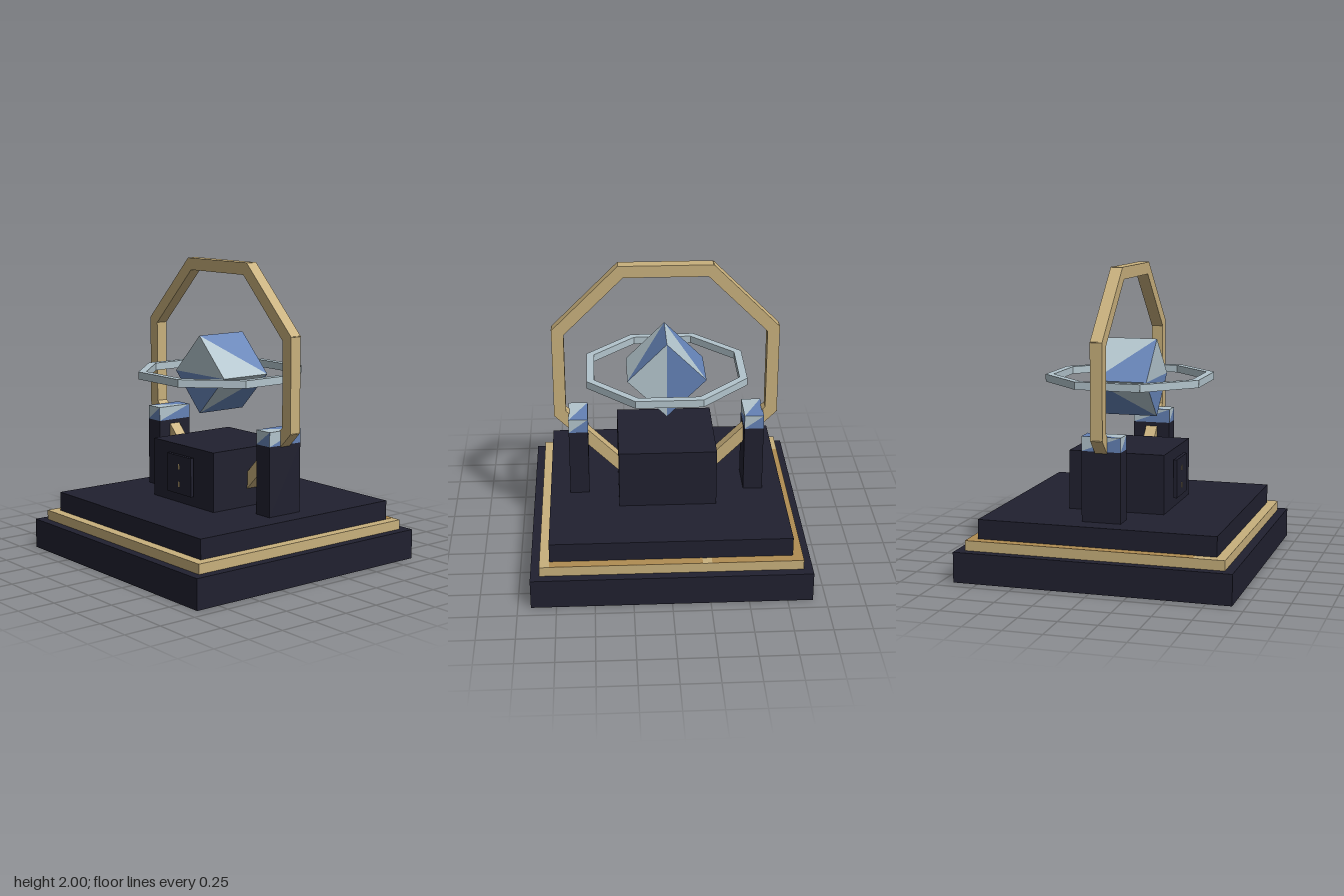
import * as THREE from 'three';

const mat = (name, color) => {
  const m = new THREE.MeshStandardMaterial({ color });
  m.name = name;
  return m;
};

export function createModel() {
  const model = new THREE.Group();
  const navy = mat('navy', 0x20202f);
  const gold = mat('gold', 0xc8b07c);
  const bronze = mat('bronze', 0xb08d52);
  const silver = mat('silver', 0xb2c4cc);
  const blue = mat('blue', 0x6482b6);

  const box = (name, w, h, d, x, y, z, material, parent = model) => {
    const mesh = new THREE.Mesh(new THREE.BoxGeometry(w, h, d), material);
    mesh.name = name;
    mesh.position.set(x, y, z);
    parent.add(mesh);
    return mesh;
  };

  // Box whose faces are each split diagonally into a silver and a blue half
  const twoToneBox = (name, w, h, d, x, y, z) => {
    const mesh = box(name, w, h, d, x, y, z, [silver, blue]);
    const g = mesh.geometry;
    g.clearGroups();
    for (let i = 0; i < 12; i++) {
      const onTop = i === 4 || i === 5;
      g.addGroup(i * 3, 3, onTop ? 1 - (i % 2) : i % 2);
    }
    return mesh;
  };

  // Octagonal ring of eight straight bars in the xy plane
  const barRing = (name, outer, thick, depth, length, material) => {
    const ring = new THREE.Group();
    ring.name = name;
    for (let i = 0; i < 8; i++) {
      const a = (i * Math.PI) / 4;
      const r = outer - thick / 2;
      const bar = box(name + 'Bar', thick, length, depth, Math.cos(a) * r, Math.sin(a) * r, 0, material, ring);
      bar.rotation.z = a;
    }
    ring.position.y = 1.25;
    model.add(ring);
    return ring;
  };

  // Stepped plinth
  box('plinthBase', 1.83, 0.2, 1.83, 0, 0.1, 0, navy);
  box('plinthTrim', 1.71, 0.065, 1.71, 0, 0.2325, 0, gold);
  box('plinthTop', 1.58, 0.13, 1.58, 0, 0.33, 0, navy);

  // Darker inlay on the trim ledge, left out where the gold shows through
  box('trimInlaySide', 0.065, 0.002, 1.51, -0.8225, 0.2655, -0.1, bronze);
  box('trimInlayBackShort', 0.53, 0.002, 0.065, -0.525, 0.2655, -0.8225, bronze);
  box('trimInlayBackLong', 0.99, 0.002, 0.065, 0.295, 0.2655, -0.8225, bronze);

  // Central block and its front panel
  box('coreBlock', 0.65, 0.395, 0.65, 0, 0.5925, 0, navy);
  box('frontPanel', 0.26, 0.26, 0.024, 0, 0.595, 0.348, navy);
  for (const y of [0.53, 0.65]) {
    box('panelMark', 0.01, 0.036, 0.003, 0, y, 0.361, gold);
  }

  // Side posts with caps
  for (const s of [-1, 1]) {
    box('post', 0.13, 0.46, 0.26, s * 0.59, 0.625, 0, navy);
    twoToneBox('postCap', 0.13, 0.095, 0.26, s * 0.59, 0.9025, 0);
  }

  // Upright and level rings
  barRing('uprightRing', 0.75, 0.08, 0.08, 0.625, gold);
  barRing('levelRing', 0.525, 0.05, 0.05, 0.435, silver).rotation.x = Math.PI / 2;

  // Floating cube balanced on its edge
  twoToneBox('floatingCube', 0.368, 0.368, 0.368, 0, 1.25, 0).rotation.z = -Math.PI / 4;

  return model;
}
